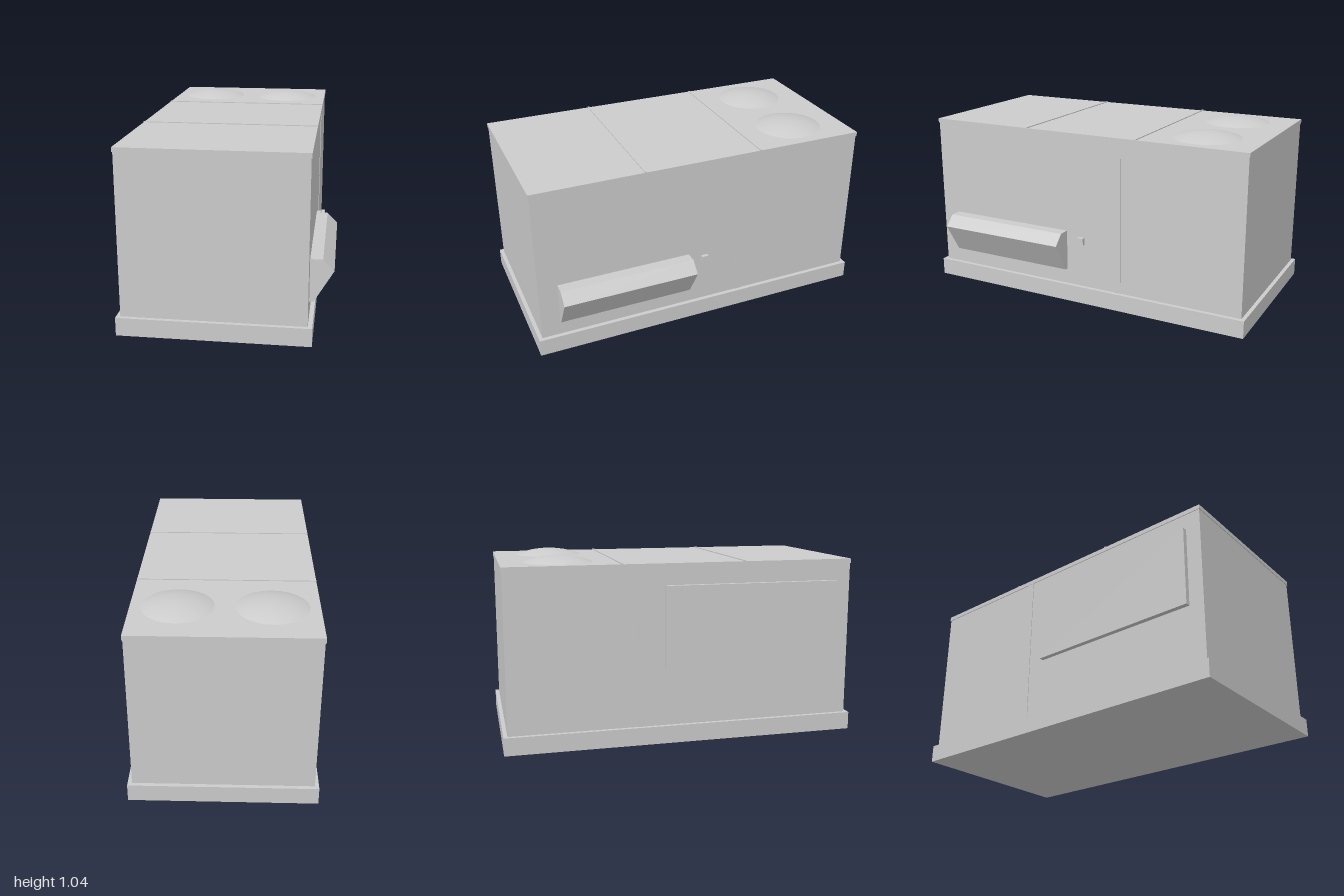
import * as THREE from 'three';

export function createModel() {
  const model = new THREE.Group();
  const material = new THREE.MeshStandardMaterial({ color: 0xcccccc });

  const add = (name, geometry) => {
    const mesh = new THREE.Mesh(geometry, material);
    mesh.name = name;
    model.add(mesh);
    return mesh;
  };
  // Box given by its limits on each axis
  const box = (name, [x0, x1], [y0, y1], [z0, z1]) =>
    add(name, new THREE.BoxGeometry(x1 - x0, y1 - y0, z1 - z0))
      .position.set((x0 + x1) / 2, (y0 + y1) / 2, (z0 + z1) / 2);

  // Plinth, cabinet and lid
  box('baseCurb', [-0.56, 0.462], [0, 0.1], [-1, 1]);
  box('cabinet', [-0.538, 0.438], [0.1, 0.982], [-0.978, 0.978]);
  box('roof', [-0.542, 0.442], [0.98, 1.005], [-0.982, 0.982]);

  // Raised seams across the roof
  for (const z of [0.345, -0.345]) {
    box('roofSeam', [-0.542, 0.442], [1.004, 1.01], [z - 0.005, z + 0.005]);
  }

  // Upright joint strips on both long sides
  box('rightJointStrip', [0.437, 0.441], [0.1, 0.98], [-0.26, -0.217]);
  box('leftJointStrip', [-0.541, -0.537], [0.1, 0.98], [-0.26, -0.217]);

  // Shallow fan domes
  const domeRadius = 0.195, domeHeight = 0.036;
  const sphereRadius = (domeRadius ** 2 + domeHeight ** 2) / (2 * domeHeight);
  const domeAngle = Math.asin(domeRadius / sphereRadius);
  for (const x of [-0.295, 0.195]) {
    const dome = add('fanDome', new THREE.SphereGeometry(
      sphereRadius, 24, 8, 0, Math.PI * 2, 0, domeAngle));
    dome.position.set(x, 1.004 + domeHeight - sphereRadius, -0.66);
  }

  // Side panel
  box('sidePanel', [-0.565, -0.537], [0.43, 0.885], [-0.112, 0.892]);

  // Intake hood: side profile extruded along the cabinet
  const profile = [[0.437, 0.192], [0.46, 0.192], [0.563, 0.366], [0.504, 0.426], [0.437, 0.426]];
  const hoodShape = new THREE.Shape(profile.map(([x, y]) => new THREE.Vector2(x, y)));
  add('intakeHood', new THREE.ExtrudeGeometry(hoodShape, { depth: 0.78, bevelEnabled: false }))
    .position.z = 0.09;

  // Small switch box beside the hood
  box('switchBox', [0.437, 0.46], [0.358, 0.4], [-0.027, 0.011]);

  return model;
}
